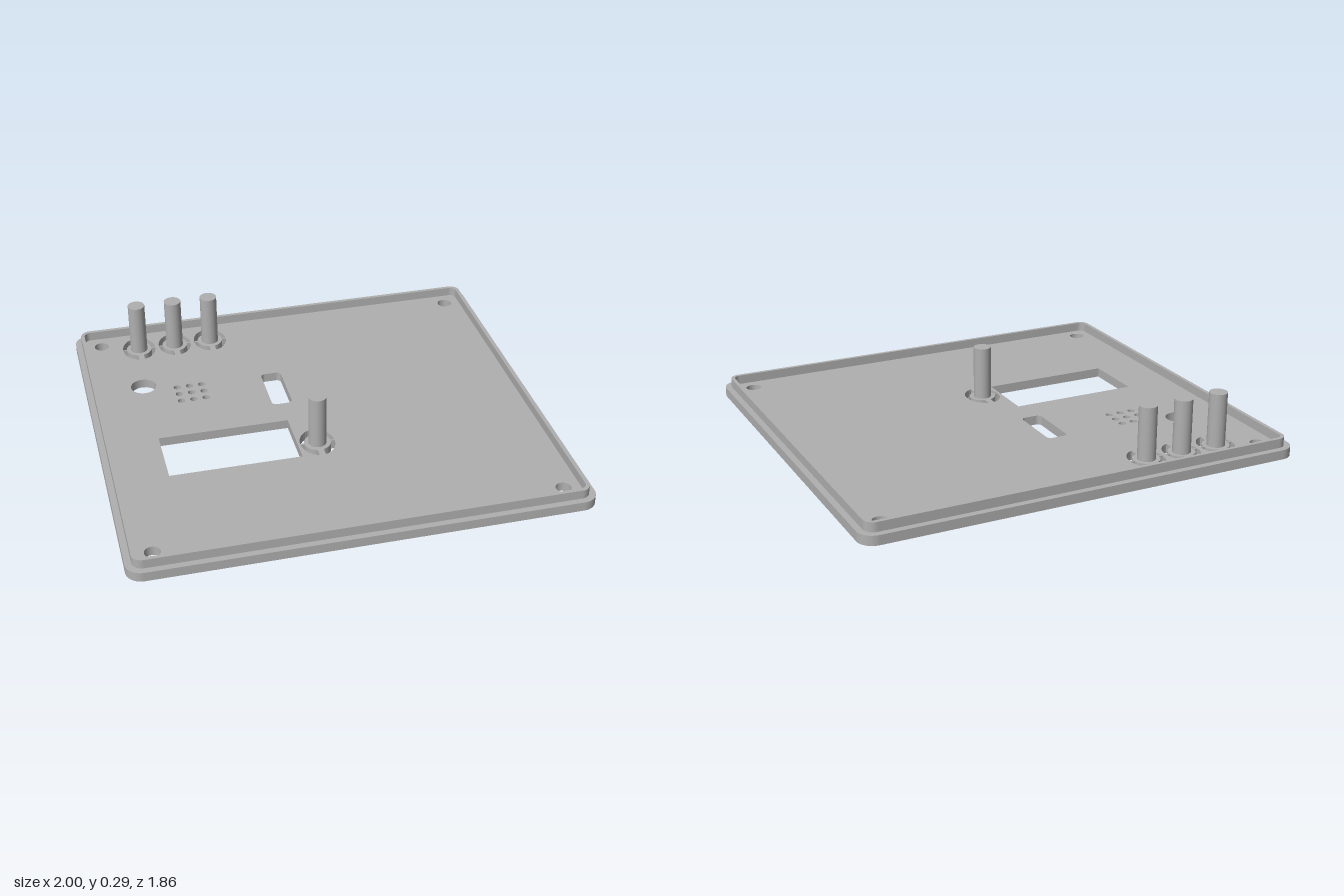
import * as THREE from 'three';

const W = 2, D = 1.855, PLATE = 0.043, LIP_TOP = 0.085, PEG_TOP = 0.286;

// Rounded rectangle outline centred on (x, z); shape y is -z
function roundedRect(x, z, w, d, r, Type = THREE.Shape) {
  const s = new Type(), l = x - w / 2, b = -z - d / 2, R = l + w, t = b + d;
  if (r === 0) {
    s.moveTo(l, b); s.lineTo(R, b); s.lineTo(R, t); s.lineTo(l, t); s.lineTo(l, b);
    return s;
  }
  s.moveTo(l + r, b);
  s.lineTo(R - r, b);
  s.absarc(R - r, b + r, r, -Math.PI / 2, 0, false);
  s.lineTo(R, t - r);
  s.absarc(R - r, t - r, r, 0, Math.PI / 2, false);
  s.lineTo(l + r, t);
  s.absarc(l + r, t - r, r, Math.PI / 2, Math.PI, false);
  s.lineTo(l, b + r);
  s.absarc(l + r, b + r, r, Math.PI, Math.PI * 1.5, false);
  return s;
}

function ellipseHole(x, z, rx, rz = rx) {
  const p = new THREE.Path();
  p.absellipse(x, -z, rx, rz, 0, Math.PI * 2, false, 0);
  return p;
}

// Extrude a plan outline upwards from y0 to y1
function slab(shape, y0, y1) {
  const g = new THREE.ExtrudeGeometry(shape, { depth: y1 - y0, bevelEnabled: false, curveSegments: 20 });
  return g.rotateX(-Math.PI / 2).translate(0, y0, 0);
}

export function createModel() {
  const model = new THREE.Group();
  const grey = new THREE.MeshStandardMaterial({ color: 0xb0b0b0 });
  grey.name = 'grey plastic';
  const add = (parent, name, geometry, x = 0, y = 0, z = 0) => {
    const m = new THREE.Mesh(geometry, grey);
    m.name = name;
    m.position.set(x, y, z);
    parent.add(m);
  };
  const buttons = [[-0.705, -0.745], [-0.53, -0.745], [-0.355, -0.745], [-0.053, 0.23]];

  // Panel with all its openings
  const plate = roundedRect(0, 0, W, D, 0.07);
  for (const x of [-0.88, 0.88])
    for (const z of [-0.808, 0.808]) plate.holes.push(ellipseHole(x, z, 0.034));
  for (const [x, z] of buttons) plate.holes.push(ellipseHole(x, z, 0.078, 0.099));
  for (let i = -1; i <= 1; i++)
    for (let j = -1; j <= 1; j++)
      plate.holes.push(ellipseHole(-0.524 + i * 0.058, -0.302 + j * 0.058, 0.017));
  plate.holes.push(ellipseHole(-0.734, -0.406, 0.059));
  plate.holes.push(roundedRect(-0.133, -0.24, 0.095, 0.264, 0.022, THREE.Path));
  plate.holes.push(roundedRect(-0.437, 0.175, 0.59, 0.288, 0, THREE.Path));
  add(model, 'panel', slab(plate, 0, PLATE));

  // Raised lip set in from the edge
  const lip = roundedRect(0, 0, W - 0.056, D - 0.056, 0.045);
  lip.holes.push(roundedRect(0, 0, W - 0.09, D - 0.09, 0.03, THREE.Path));
  add(model, 'lip', slab(lip, PLATE, LIP_TOP));

  // Spring buttons: disc, bridges to the panel and a tall peg
  const disc = new THREE.CylinderGeometry(0.06, 0.06, PLATE, 40);
  const peg = new THREE.CylinderGeometry(0.04, 0.04, PEG_TOP - PLATE, 32);
  const wideBridge = new THREE.BoxGeometry(0.028, PLATE, 0.05);
  const thinBridge = new THREE.BoxGeometry(0.028, PLATE, 0.008);
  for (const [x, z] of buttons) {
    const button = new THREE.Group();
    button.name = 'button';
    button.position.set(x, 0, z);
    add(button, 'buttonDisc', disc, 0, PLATE / 2, 0);
    add(button, 'buttonPeg', peg, 0, (PEG_TOP + PLATE) / 2, 0);
    for (const s of [-1, 1]) {
      add(button, 'wideBridge', wideBridge, 0, PLATE / 2, s * 0.076);
      add(button, 'thinBridge', thinBridge, s * 0.066, PLATE / 2, 0);
    }
    model.add(button);
  }
  return model;
}
